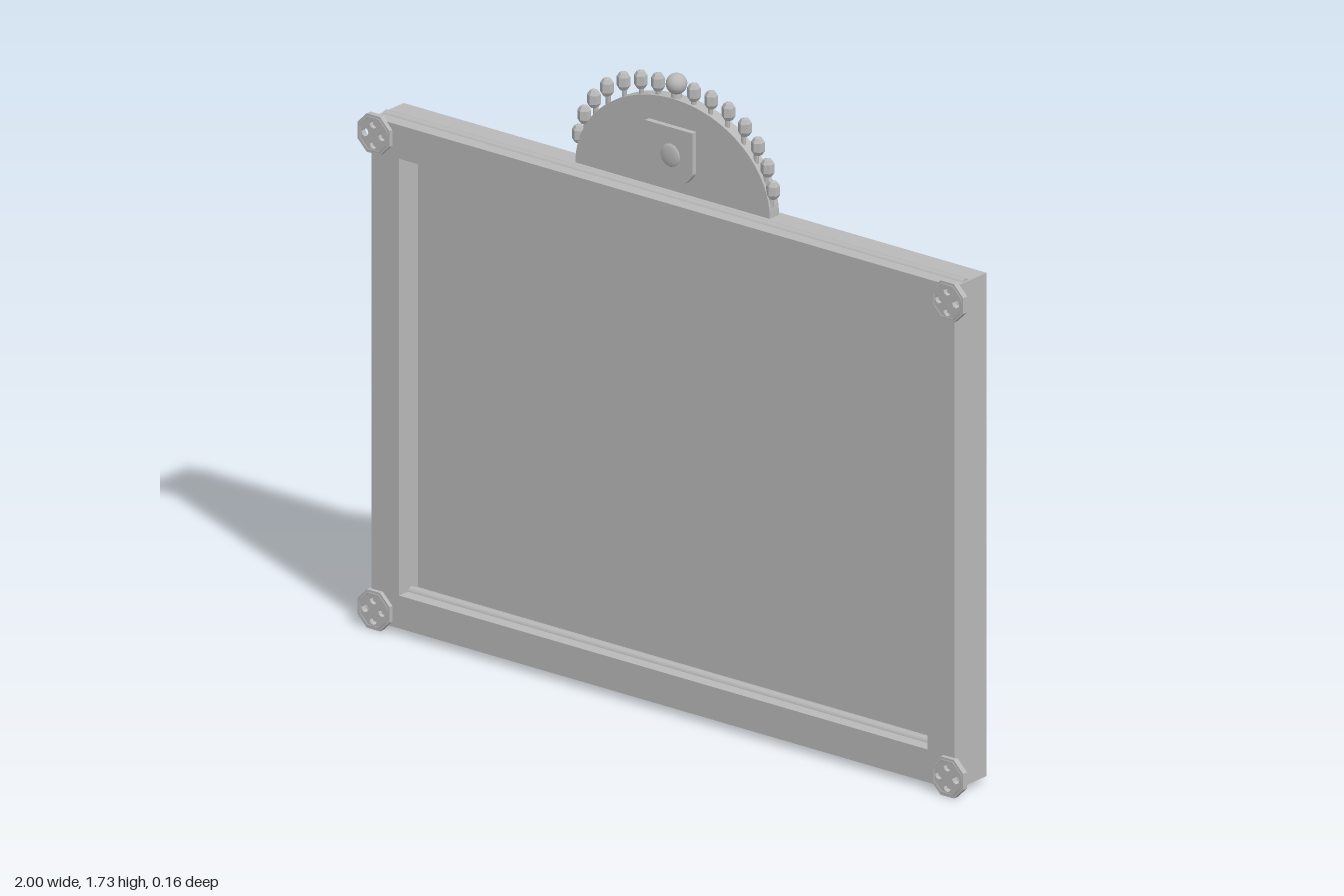
import * as THREE from 'three';

export function createModel() {
  const group = new THREE.Group();
  const grey = new THREE.MeshStandardMaterial({ color: 0xb8b8b8 });
  grey.name = 'plainGrey';

  const add = (name, geometry, x = 0, y = 0, z = 0) => {
    const mesh = new THREE.Mesh(geometry, grey);
    mesh.name = name;
    mesh.position.set(x, y, z);
    group.add(mesh);
    return mesh;
  };
  const extrude = (shape, depth, curveSegments = 12) =>
    new THREE.ExtrudeGeometry(shape, { depth, bevelEnabled: false, curveSegments });
  const rect = (path, x, y0, y1) =>
    path.moveTo(-x, y0).lineTo(x, y0).lineTo(x, y1).lineTo(-x, y1).closePath();

  // Deep rectangular frame around an open front
  const frame = rect(new THREE.Shape(), 0.96, 0.02, 1.4);
  frame.holes.push(rect(new THREE.Path(), 0.87, 0.11, 1.308));
  add('frame', extrude(frame, 0.13), 0, 0, -0.062);

  // Recessed panel that also projects from the back
  add('panel', new THREE.BoxGeometry(1.88, 1.34, 0.07), 0, 0.71, -0.045);

  // Round beads running along the outer and inner edges of the rails
  for (const [y, length] of [[1.392, 1.91], [0.028, 1.91], [1.312, 1.74], [0.106, 1.74]]) {
    const bead = new THREE.CylinderGeometry(0.015, 0.015, length, 12);
    add('railBead', bead.rotateZ(Math.PI / 2), 0, y, 0.018);
  }

  // Pierced rosettes on the four corners
  const rosette = new THREE.Shape();
  for (let i = 0; i < 8; i++) {
    const a = (i + 0.5) * Math.PI / 4;
    rosette[i ? 'lineTo' : 'moveTo'](0.057 * Math.cos(a), 0.057 * Math.sin(a));
  }
  rosette.closePath();
  for (let i = 0; i < 4; i++) {
    const a = i * Math.PI / 2;
    const hole = new THREE.Path();
    hole.absellipse(0.028 * Math.cos(a), 0.028 * Math.sin(a), 0.012, 0.012, 0, Math.PI * 2, true);
    rosette.holes.push(hole);
  }
  const rosetteGeometry = extrude(rosette, 0.016, 4);
  for (const x of [-0.945, 0.945]) {
    for (const y of [0.055, 1.36]) {
      add('cornerRosette', rosetteGeometry, x, y, 0.064);
      add('rosetteRim', new THREE.TorusGeometry(0.048, 0.005, 4, 8).rotateZ(Math.PI / 8), x, y, 0.078);
    }
  }

  // Half-oval crest above the frame
  const crest = new THREE.Shape();
  crest.moveTo(-0.32, 0).lineTo(0.32, 0);
  crest.absellipse(0, 0, 0.32, 0.252, 0, Math.PI, false);
  add('crest', extrude(crest, 0.038, 24), 0, 1.42, -0.008);

  // Shield with a raised rim and a low round boss
  const outline = (path, s) => path.moveTo(-0.078 * s, 0.085 * s).lineTo(0.078 * s, 0.085 * s)
    .lineTo(0.078 * s, -0.03 * s).quadraticCurveTo(0.06 * s, -0.065 * s, 0, -0.085 * s)
    .quadraticCurveTo(-0.06 * s, -0.065 * s, -0.078 * s, -0.03 * s).closePath();
  add('shield', extrude(outline(new THREE.Shape(), 1), 0.01), 0, 1.515, 0.029);
  const rim = outline(new THREE.Shape(), 1);
  rim.holes.push(outline(new THREE.Path(), 0.88));
  add('shieldRim', extrude(rim, 0.007), 0, 1.515, 0.039);
  const boss = new THREE.SphereGeometry(0.032, 12, 6, 0, Math.PI * 2, 0, Math.PI / 2);
  add('shieldBoss', boss.rotateX(Math.PI / 2).scale(1, 1, 0.22), 0, 1.52, 0.039);

  // Faceted beads following the crest, mirrored on both sides
  const gem = new THREE.LatheGeometry(
    [[0, -0.027], [0.011, -0.023], [0.018, -0.012], [0.018, 0.012], [0.011, 0.023], [0, 0.027]]
      .map(([r, y]) => new THREE.Vector2(r, y)), 6).toNonIndexed();
  gem.computeVertexNormals();
  const spots = [[0.32, 1.495], [0.302, 1.552], [0.27, 1.603], [0.227, 1.645],
    [0.173, 1.675], [0.116, 1.693], [0.059, 1.7]];
  for (const side of [-1, 1]) {
    for (const [x, y] of spots) {
      add('crestBead', gem, side * x, y, 0.016);
      add('beadPin', new THREE.CylinderGeometry(0.007, 0.007, 0.03, 6), side * x * 0.98, y - 0.033, 0.016);
    }
  }

  // Round finial at the top
  add('finial', new THREE.SphereGeometry(0.028, 16, 12), 0, 1.709, 0.014);
  add('finialNeck', new THREE.CylinderGeometry(0.012, 0.016, 0.03, 8), 0, 1.678, 0.014);

  return group;
}
